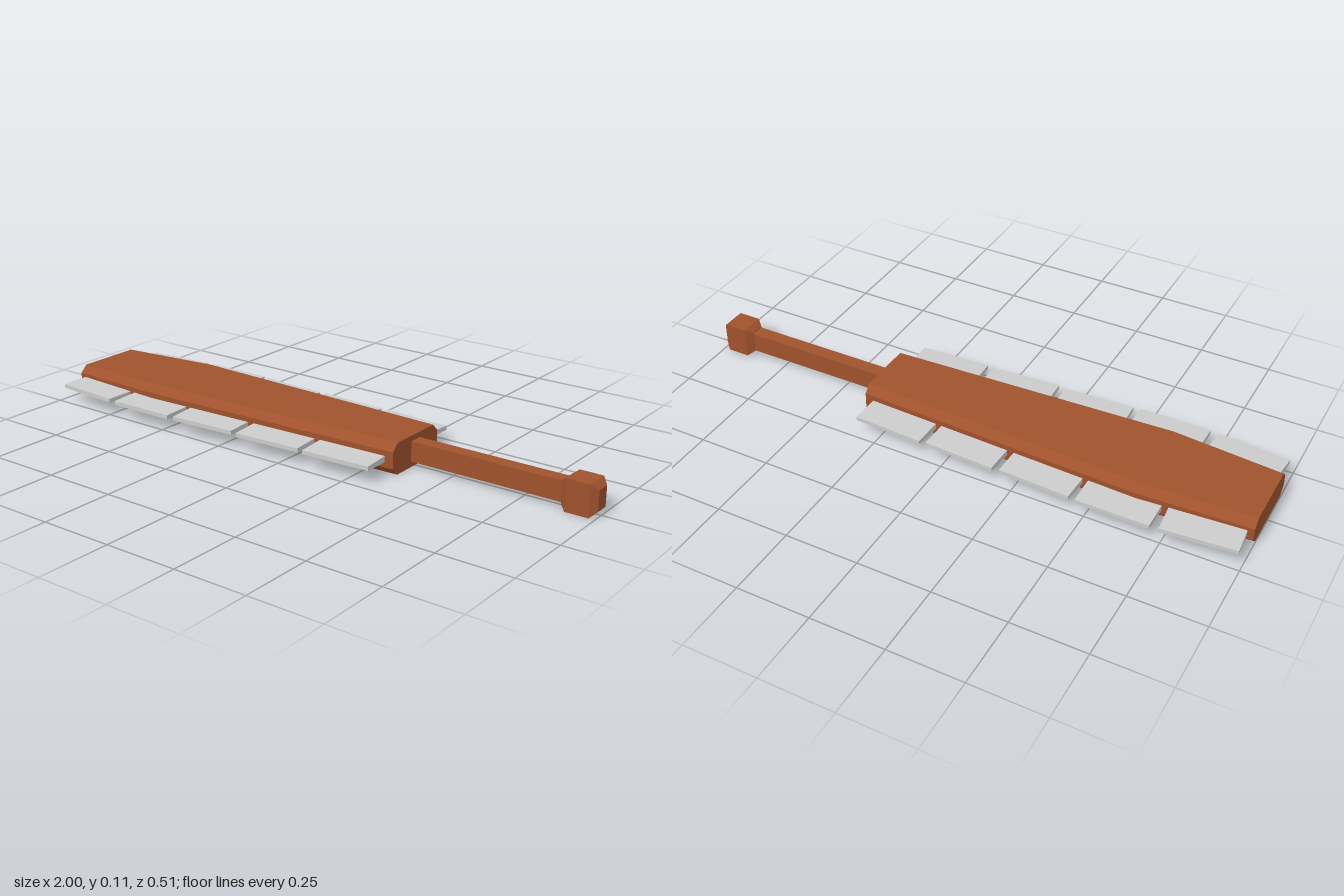
import * as THREE from 'three';

const wood = new THREE.MeshStandardMaterial({ color: 0xa0522d, flatShading: true });
const stone = new THREE.MeshStandardMaterial({ color: 0xcccccc, flatShading: true });

// Closed loft along x; each section is { x, ring: [[y, z], ...] }, rings running from +y to +z
function loft(name, sections, material) {
  const pos = [];
  const put = (s, i) => pos.push(s.x, ...s.ring[i % s.ring.length]);
  const n = sections[0].ring.length;
  for (let k = 0; k < sections.length - 1; k++) {
    const a = sections[k], b = sections[k + 1];
    for (let i = 0; i < n; i++) {
      put(a, i); put(a, i + 1); put(b, i + 1);
      put(a, i); put(b, i + 1); put(b, i);
    }
  }
  const first = sections[0], last = sections[sections.length - 1];
  for (let i = 1; i < n - 1; i++) {
    put(last, 0); put(last, i); put(last, i + 1);
    put(first, 0); put(first, i + 1); put(first, i);
  }
  const geometry = new THREE.BufferGeometry();
  geometry.setAttribute('position', new THREE.Float32BufferAttribute(pos, 3));
  geometry.computeVertexNormals();
  const mesh = new THREE.Mesh(geometry, material);
  mesh.name = name;
  return mesh;
}

// Rectangle and bevelled rectangle sections, given by half height and half width
const rect = (x, h, w) => ({ x, ring: [[h, -w], [h, w], [-h, w], [-h, -w]] });
const bevelled = (x, h, w, c = 0.025) => ({
  x,
  ring: [[h, c - w], [h, w - c], [h - c, w], [c - h, w],
    [-h, w - c], [-h, c - w], [c - h, -w], [h - c, -w]],
});

export function createModel() {
  const model = new THREE.Group();
  model.name = 'bladedClub';
  const club = new THREE.Group();
  club.name = 'club';
  club.position.y = 0.053;
  model.add(club);

  // Flat paddle, widest near its tip
  club.add(loft('paddle', [
    bevelled(-1, 0.046, 0.14),
    bevelled(-0.63, 0.053, 0.165),
    bevelled(0.355, 0.053, 0.125),
  ], wood));

  // Handle and pommel
  club.add(loft('handle', [rect(0.34, 0.034, 0.024), rect(0.9, 0.034, 0.024)], wood));
  club.add(loft('pommel', [
    rect(0.882, 0.037, 0.026),
    rect(0.902, 0.053, 0.042),
    rect(0.98, 0.053, 0.042),
    rect(1, 0.034, 0.024),
  ], wood));

  // Stone blades: [centre x, outer edge z, slope of the edge]
  const blades = [
    [-0.865, 0.245, 0.08],
    [-0.592, 0.257, -0.004],
    [-0.325, 0.246, -0.05],
    [-0.057, 0.238, -0.05],
    [0.208, 0.229, -0.05],
  ];
  for (const side of [0, 1]) {
    const row = new THREE.Group();
    row.name = side ? 'backBlades' : 'frontBlades';
    row.rotation.x = side * Math.PI;
    for (const [x, z, slope] of blades) {
      // Wedge thinning towards its outer edge
      const ring = [[0.0125, -0.16], [0.007, 0], [-0.007, 0], [-0.0125, -0.16]];
      const blade = loft('blade', [{ x: -0.122, ring }, { x: 0.122, ring }], stone);
      blade.position.set(x, 0, z);
      blade.rotation.y = -Math.atan(slope);
      row.add(blade);
    }
    club.add(row);
  }
  return model;
}
